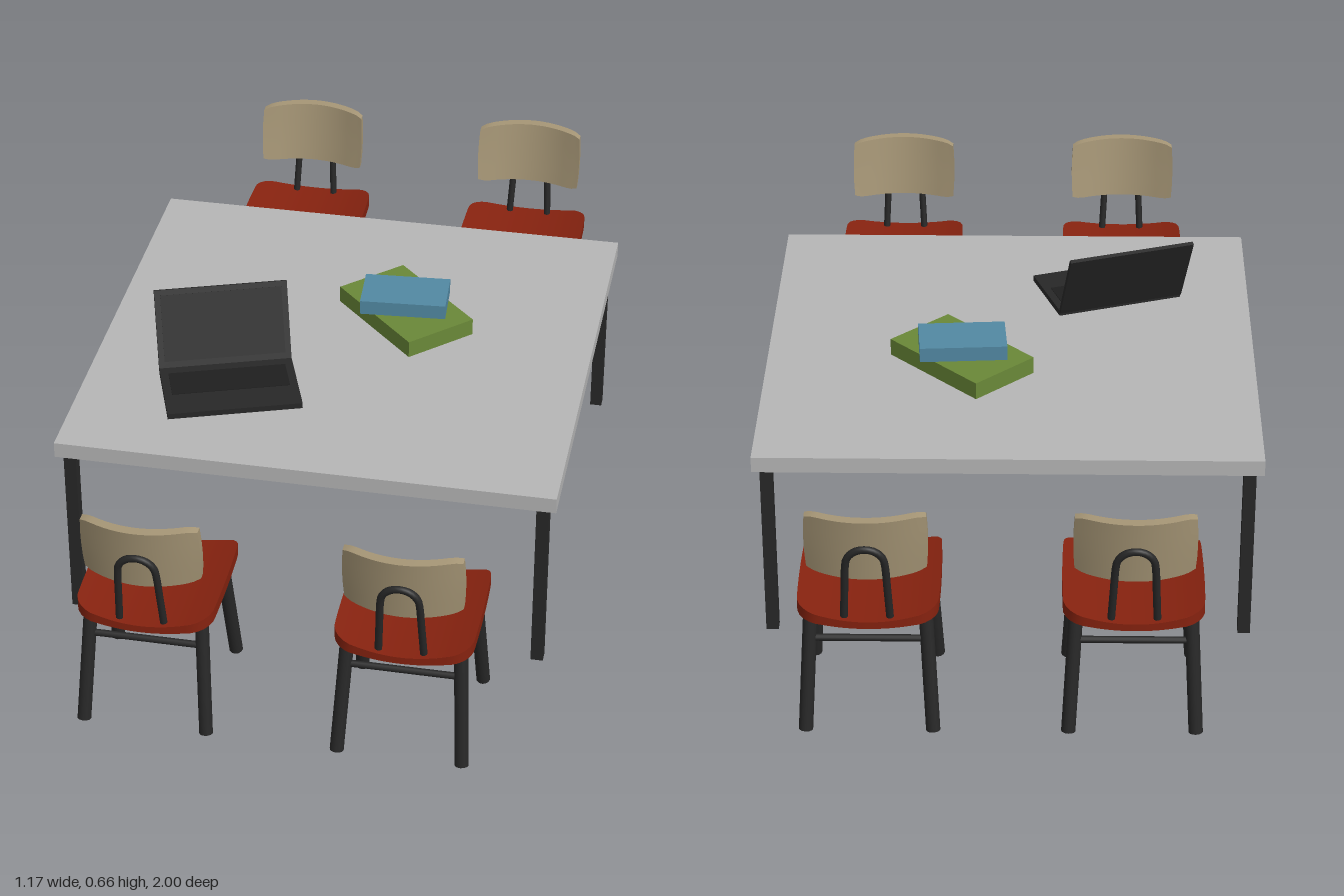
import * as THREE from 'three';

const mat = (name, color) => {
  const m = new THREE.MeshStandardMaterial({ color });
  m.name = name;
  return m;
};

export function createModel() {
  const grey = mat('table grey', 0xb6b6b6);
  const black = mat('black metal', 0x272727);
  const screenBlack = mat('screen black', 0x1f1f1f);
  const red = mat('seat red', 0x86220f);
  const beige = mat('backrest beige', 0xa69676);
  const green = mat('book green', 0x6a8838);
  const blue = mat('book blue', 0x5289a3);

  const add = (parent, name, geometry, material, x = 0, y = 0, z = 0) => {
    const mesh = new THREE.Mesh(geometry, material);
    mesh.name = name;
    mesh.position.set(x, y, z);
    parent.add(mesh);
    return mesh;
  };
  const box = (w, h, d) => new THREE.BoxGeometry(w, h, d);

  // Round bar between two points
  const bar = (parent, name, a, b, r) => {
    const mesh = add(parent, name, new THREE.CylinderGeometry(r, r, a.distanceTo(b), 12), black);
    mesh.position.copy(a).lerp(b, 0.5);
    mesh.quaternion.setFromUnitVectors(new THREE.Vector3(0, 1, 0), b.clone().sub(a).normalize());
  };

  // Unit cube (coordinates -1..1) reshaped by a rule
  const mould = (sx, sy, sz, rule) => {
    const g = new THREE.BoxGeometry(2, 2, 2, sx, sy, sz);
    const p = g.attributes.position;
    for (let i = 0; i < p.count; i++) p.setXYZ(i, ...rule(p.getX(i), p.getY(i), p.getZ(i)));
    g.computeVertexNormals();
    return g;
  };

  // Seat: dished across its width, with rounded corners, larger at the back
  const roundIn = (d, r) => (d >= r ? 0 : r - Math.sqrt(r * r - (r - d) * (r - d)));
  const seatGeometry = mould(16, 1, 20, (u, v, w) => {
    const s = Math.sin(w * Math.PI / 2);
    const z = 0.005 + 0.161 * s;
    const half = 0.158 - 0.004 * s * s - roundIn(0.166 - z, 0.025) - roundIn(z + 0.156, 0.055);
    const x = u * half;
    const k = (x / 0.158) ** 2;
    const bow = s * (s > 0 ? 0.006 : 0.008) * (1 - u * u);
    return [x, v > 0 ? 0.304 + 0.024 * k : 0.287 + 0.012 * k, z + bow];
  });

  // Backrest: curved slab leaning outwards at the top
  const backGeometry = mould(18, 4, 1, (u, v, w) => {
    const end = Math.max(0, (Math.abs(u) - 0.8) / 0.2);
    const y = 0.488 + v * (0.078 - 0.003 * u * u - 0.006 * end * end);
    const x = u * (0.135 - 0.003 * v * v);
    const outer = -0.178 + 0.042 * u * u + 0.022 * (0.566 - y) / 0.155;
    return [x, y, w < 0 ? outer : outer + 0.024 - 0.004 * end];
  });

  // Arched tube that carries the backrest
  const arch = [[-0.051, 0.298], [-0.047, 0.38]];
  for (let i = 0; i <= 8; i++) {
    const a = Math.PI * (1 - i / 8);
    arch.push([0.043 * Math.cos(a), 0.453 + 0.043 * Math.sin(a)]);
  }
  arch.push([0.047, 0.38], [0.051, 0.298]);
  const archGeometry = new THREE.TubeGeometry(
    new THREE.CatmullRomCurve3(arch.map(([x, y]) => new THREE.Vector3(x, y, -0.142 - 0.15 * (y - 0.3)))),
    48, 0.0085, 10);

  // Chair facing +z
  const makeChair = () => {
    const chair = new THREE.Group();
    chair.name = 'chair';
    add(chair, 'seat', seatGeometry, red);
    add(chair, 'backrest', backGeometry, beige);
    add(chair, 'backSupport', archGeometry, black);
    for (const sx of [-1, 1]) {
      for (const sz of [-1, 1]) {
        bar(chair, sz > 0 ? 'frontLeg' : 'backLeg',
          new THREE.Vector3(sx * 0.142, 0.014, sz * 0.155),
          new THREE.Vector3(sx * 0.127, 0.3, sz * 0.102), 0.016);
      }
    }
    bar(chair, 'crossbar', new THREE.Vector3(-0.131, 0.232, -0.115), new THREE.Vector3(0.131, 0.232, -0.115), 0.008);
    return chair;
  };

  const model = new THREE.Group();
  model.name = 'tableSet';

  // Table
  const table = new THREE.Group();
  table.name = 'table';
  model.add(table);
  add(table, 'tableTop', box(1.17, 0.038, 1.14), grey, 0, 0.455, 0);
  for (const sx of [-1, 1]) {
    for (const sz of [-1, 1]) {
      add(table, 'tableLeg', box(0.029, 0.438, 0.029), black, sx * 0.553, 0.219, sz * 0.543);
    }
  }

  // Four chairs, two on each side, facing the table
  for (const x of [-0.283, 0.302]) {
    for (const side of [-1, 1]) {
      const chair = makeChair();
      chair.position.set(x, 0, side * 0.822);
      chair.rotation.y = side > 0 ? Math.PI : 0;
      model.add(chair);
    }
  }

  // Stacked books
  add(model, 'greenBook', box(0.302, 0.042, 0.187), green, 0.117, 0.495, -0.118).rotation.y = -0.8;
  add(model, 'blueBook', box(0.208, 0.036, 0.127), blue, 0.115, 0.534, -0.119).rotation.y = 0.07;

  // Open laptop, origin at the hinge
  const laptop = new THREE.Group();
  laptop.name = 'laptop';
  laptop.position.set(-0.267, 0.474, 0.183);
  laptop.rotation.y = 0.34;
  model.add(laptop);
  add(laptop, 'laptopBase', box(0.318, 0.014, 0.2), black, 0, 0.007, 0.1);
  add(laptop, 'keyboard', box(0.28, 0.002, 0.09), screenBlack, 0, 0.0145, 0.075);
  const lid = new THREE.Group();
  lid.name = 'laptopLid';
  lid.position.set(0, 0.01, 0);
  lid.rotation.x = -0.405;
  laptop.add(lid);
  add(lid, 'lidPanel', box(0.318, 0.19, 0.01), black, 0, 0.095, 0);
  add(lid, 'screen', box(0.29, 0.16, 0.002), screenBlack, 0, 0.097, 0.005);

  return model;
}
